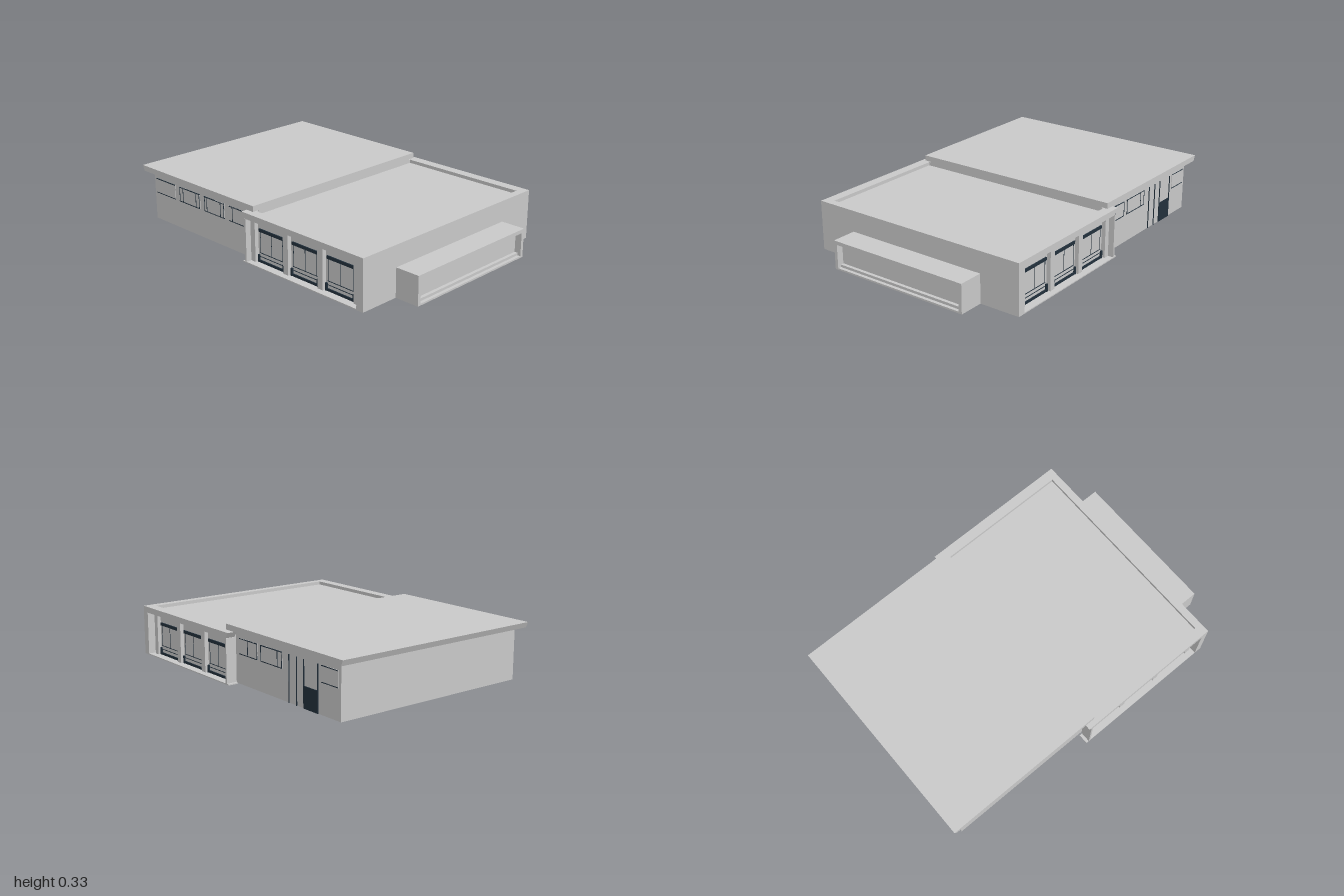
import * as THREE from 'three';

const grey = new THREE.MeshStandardMaterial({ color: 0xc8c8c8 });
grey.name = 'light grey concrete';
const dark = new THREE.MeshStandardMaterial({ color: 0x22303c });
dark.name = 'dark slate trim';

// Box given by its min and max along each axis
function box(parent, name, mat, [x0, x1], [y0, y1], [z0, z1]) {
  const mesh = new THREE.Mesh(new THREE.BoxGeometry(x1 - x0, y1 - y0, z1 - z0), mat);
  mesh.position.set((x0 + x1) / 2, (y0 + y1) / 2, (z0 + z1) / 2);
  mesh.name = name;
  parent.add(mesh);
  return mesh;
}

// Slab with an x-y outline, extruded between two z values
function slab(parent, name, points, z0, z1) {
  const shape = new THREE.Shape(points.map(([x, y]) => new THREE.Vector2(x, y)));
  const geo = new THREE.ExtrudeGeometry(shape, { depth: z1 - z0, bevelEnabled: false });
  const mesh = new THREE.Mesh(geo, grey);
  mesh.position.z = z0;
  mesh.name = name;
  parent.add(mesh);
}

// Side s is +1 for the front and -1 for the back
const span = (s, a, b) => (s > 0 ? [a, b] : [-b, -a]);

const WALL = 0.62;  // office wall plane
const DOOR = 0.63;  // garage door plane
const EDGE = 0.69;  // garage outer face

function garageDoor(parent, s, x0, x1) {
  const g = new THREE.Group();
  g.name = 'garageDoor';
  const z = (a, b) => span(s, DOOR + a, DOOR + b);
  box(g, 'doorPanel', grey, [x0, x1], [0.006, 0.25], z(-0.005, 0.005));
  box(g, 'doorHeadBar', dark, [x0 + 0.01, x1 - 0.01], [0.187, 0.205], z(0, 0.012));
  box(g, 'doorBottomBar', dark, [x0, x1], [0.006, 0.02], z(0, 0.012));
  for (const x of [x0, x1 - 0.012]) {
    box(g, 'doorCornerGuard', dark, [x, x + 0.012], [0.006, 0.05], z(0, 0.014));
  }
  for (const y of [0.038, 0.06]) {
    box(g, 'doorRail', dark, [x0 + 0.012, x1 - 0.012], [y, y + 0.003], z(0, 0.008));
  }
  for (const t of [0.08, 0.5, 0.92]) {
    const x = x0 + (x1 - x0) * t;
    box(g, 'doorSeam', dark, [x - 0.001, x + 0.001], [0.06, 0.187], z(0, 0.007));
  }
  parent.add(g);
}

function stripWindow(parent, s, x0, x1, mullions = []) {
  const g = new THREE.Group();
  g.name = 'stripWindow';
  box(g, 'windowPane', grey, [x0, x1], [0.17, 0.26], span(s, WALL - 0.002, WALL + 0.003));
  for (const y of [0.17, 0.256]) {
    box(g, 'windowFrame', dark, [x0, x1], [y, y + 0.004], span(s, WALL, WALL + 0.005));
  }
  for (const x of mullions) {
    box(g, 'windowMullion', dark, [x - 0.0015, x + 0.0015], [0.17, 0.26], span(s, WALL, WALL + 0.005));
  }
  parent.add(g);
}

export function createModel() {
  const model = new THREE.Group();
  model.name = 'garageBuilding';

  // Office wing with its overhanging roof
  const office = new THREE.Group();
  office.name = 'officeWing';
  box(office, 'officeWalls', grey, [-0.94, 0], [0, 0.302], [-WALL, WALL]);
  slab(office, 'officeRoof', [[-0.985, 0.3], [0, 0.3], [0, 0.333], [-1, 0.333]], -0.66, 0.66);
  model.add(office);

  // Garage wing: core with a sunken roof
  const garage = new THREE.Group();
  garage.name = 'garageWing';
  box(garage, 'garageCore', grey, [-0.035, 0.85], [0, 0.275], [-DOOR, DOOR]);
  box(garage, 'sideParapet', grey, [0.805, 0.85], [0.26, 0.295], [-DOOR, DOOR]);
  box(garage, 'innerParapet', grey, [-0.035, 0], [0.26, 0.295], [-DOOR, DOOR]);

  for (const s of [1, -1]) {
    // Canopy and parapet over the doors, with a slanted inner end
    const [z0, z1] = span(s, DOOR, EDGE);
    slab(garage, 'canopy', [[-0.035, 0.26], [0.85, 0.26], [0.85, 0.295], [-0.06, 0.295]], z0, z1);
    box(garage, 'apron', grey, [-0.06, 0.85], [0, 0.006], [z0, z1]);
    box(garage, 'outerWingWall', grey, [0.805, 0.85], [0, 0.261], [z0, z1]);
    box(garage, 'innerWingWall', grey, [-0.042, -0.03], [0, 0.261], [z0, z1]);

    // Piers between the three doors
    for (const [a, b] of [[-0.03, 0.005], [0.23, 0.268], [0.492, 0.53], [0.752, 0.786]]) {
      box(garage, 'pier', grey, [a, b], [0, 0.261], span(s, DOOR - 0.005, DOOR + 0.025));
    }
    for (const [a, b] of [[0.012, 0.223], [0.275, 0.486], [0.537, 0.748]]) {
      garageDoor(garage, s, a, b);
    }
  }
  model.add(garage);

  // Front windows
  stripWindow(office, 1, -0.92, -0.74);
  stripWindow(office, 1, -0.7, -0.51, [-0.695, -0.665, -0.545, -0.515]);
  stripWindow(office, 1, -0.47, -0.29, [-0.465, -0.445, -0.325, -0.295]);
  stripWindow(office, 1, -0.25, -0.07, [-0.22]);

  // Back windows and entrance
  stripWindow(office, -1, -0.92, -0.79);
  stripWindow(office, -1, -0.46, -0.27, [-0.458, -0.42, -0.272]);
  stripWindow(office, -1, -0.24, -0.07, [-0.238, -0.15]);
  const entrance = new THREE.Group();
  entrance.name = 'entrance';
  box(entrance, 'entranceLowerPanel', dark, [-0.76, -0.645], [0, 0.12], [-WALL - 0.005, -WALL]);
  for (const x of [-0.76, -0.645, -0.585, -0.52]) {
    box(entrance, 'entranceFrame', dark, [x - 0.0015, x + 0.0015], [0, 0.26], [-WALL - 0.005, -WALL]);
  }
  office.add(entrance);

  // Low side annex with a framed recess
  const annex = new THREE.Group();
  annex.name = 'sideAnnex';
  box(annex, 'annexBody', grey, [0.84, 0.96], [0, 0.17], [-0.445, 0.445]);
  box(annex, 'annexTop', grey, [0.96, 1], [0.148, 0.17], [-0.445, 0.445]);
  box(annex, 'annexBase', grey, [0.96, 1], [0, 0.01], [-0.445, 0.445]);
  box(annex, 'annexSill', grey, [0.96, 0.98], [0.01, 0.025], [-0.425, 0.425]);
  for (const s of [1, -1]) {
    box(annex, 'annexCheek', grey, [0.96, 1], [0.01, 0.148], span(s, 0.425, 0.445));
  }
  model.add(annex);

  return model;
}
